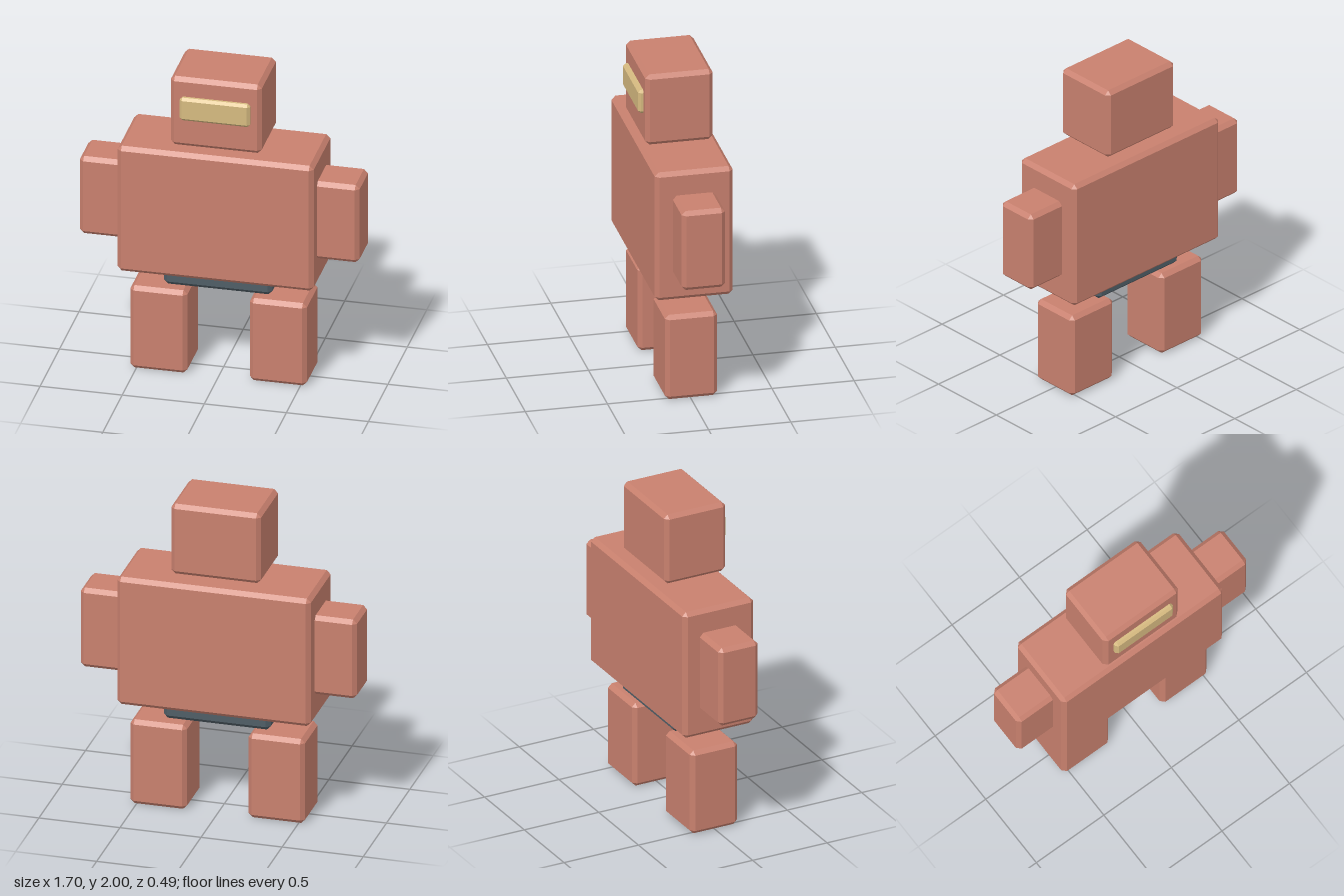
import * as THREE from 'three';
import { ConvexGeometry } from 'three/addons/geometries/ConvexGeometry.js';

// Box between two corners with every edge chamfered by c
function chamferedBox(min, max, c) {
  const mid = min.map((v, i) => (v + max[i]) / 2);
  const half = min.map((v, i) => (max[i] - v) / 2);
  const points = [];
  for (const sx of [-1, 1]) for (const sy of [-1, 1]) for (const sz of [-1, 1]) {
    const sign = [sx, sy, sz];
    // three points per corner, each lying on one of the three faces
    for (let face = 0; face < 3; face++) {
      points.push(new THREE.Vector3(...sign.map((s, i) => mid[i] + s * (half[i] - (i === face ? 0 : c)))));
    }
  }
  return new ConvexGeometry(points);
}

export function createModel() {
  const model = new THREE.Group();
  model.name = 'blockRobot';

  const flat = (name, color) => {
    const m = new THREE.MeshStandardMaterial({ color });
    m.name = name;
    return m;
  };
  const terracotta = flat('terracotta', 0xc8806e);
  const slate = flat('slate', 0x4f5d66);
  const sand = flat('sand', 0xd6ba80);

  const add = (name, material, min, max, c = 0.025) => {
    const mesh = new THREE.Mesh(chamferedBox(min, max, c), material);
    mesh.name = name;
    model.add(mesh);
  };

  // Head with its visor
  add('head', terracotta, [-0.277, 1.545, -0.197], [0.277, 2, 0.214]);
  add('visor', sand, [-0.214, 1.73, 0.19], [0.214, 1.88, 0.245], 0.016);

  // Torso and the pelvis sunk into its underside
  add('torso', terracotta, [-0.597, 0.675, -0.245], [0.597, 1.505, 0.23]);
  add('pelvis', slate, [-0.33, 0.587, -0.173], [0.33, 0.76, 0.165]);

  // Arms and legs, mirrored left and right
  for (const [side, s] of [['left', 1], ['right', -1]]) {
    const limb = (name, x0, x1, y0, y1, z0, z1) =>
      add(side + name, terracotta, [Math.min(s * x0, s * x1), y0, z0], [Math.max(s * x0, s * x1), y1, z1]);
    limb('Arm', 0.55, 0.852, 0.842, 1.355, -0.14, 0.125);
    limb('Leg', 0.19, 0.538, 0, 0.547, -0.163, 0.154);
  }
  return model;
}
